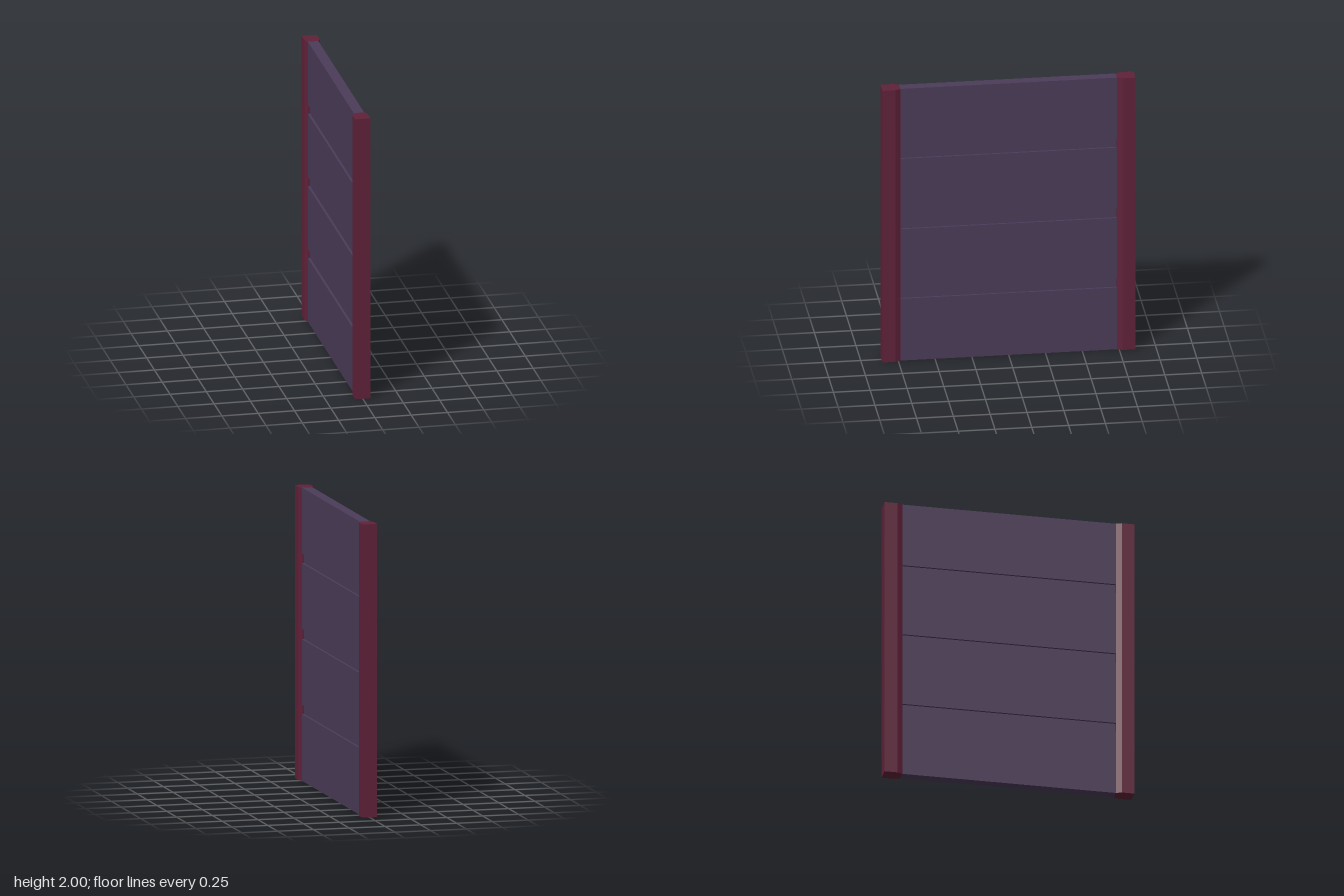
import * as THREE from 'three';

const HEIGHT = 2, HALF_LENGTH = 0.86, PANEL_END = 0.735;
const PANEL_X = 0.036, POST_X = 0.052, GROOVE_X = 0.021;
const GROOVES = [[0.455, 0.52], [0.967, 1.037], [1.485, 1.55]];

const extrude = (points, depth) => new THREE.ExtrudeGeometry(
  new THREE.Shape(points.map(([x, y]) => new THREE.Vector2(x, y))),
  { depth, bevelEnabled: false });

export function createModel() {
  const model = new THREE.Group();
  const panelMaterial = new THREE.MeshStandardMaterial({ name: 'dusky purple', color: 0x4b3b59 });
  const postMaterial = new THREE.MeshStandardMaterial({ name: 'dark maroon', color: 0x602139 });

  // Panel: cross-section with three square grooves on each face
  const side = [[PANEL_X, 0]];
  for (const [low, high] of GROOVES) {
    side.push([PANEL_X, low], [GROOVE_X, low], [GROOVE_X, high], [PANEL_X, high]);
  }
  side.push([PANEL_X, HEIGHT]);
  const mirrored = side.map(([x, y]) => [-x, y]).reverse();
  const panelGeometry = extrude([...side, ...mirrored], PANEL_END * 2);
  panelGeometry.translate(0, 0, -PANEL_END);
  const panel = new THREE.Mesh(panelGeometry, panelMaterial);
  panel.name = 'groovedPanel';
  model.add(panel);

  // End posts: upright bars tapering towards the panel
  const postGeometry = extrude([
    [-POST_X, -HALF_LENGTH], [POST_X, -HALF_LENGTH], [POST_X, -0.772],
    [PANEL_X, -PANEL_END], [-PANEL_X, -PANEL_END], [-POST_X, -0.772],
  ], HEIGHT);
  postGeometry.rotateX(-Math.PI / 2);
  ['frontPost', 'backPost'].forEach((name, i) => {
    const post = new THREE.Mesh(postGeometry, postMaterial);
    post.name = name;
    post.rotation.y = i * Math.PI;
    model.add(post);
  });

  return model;
}
